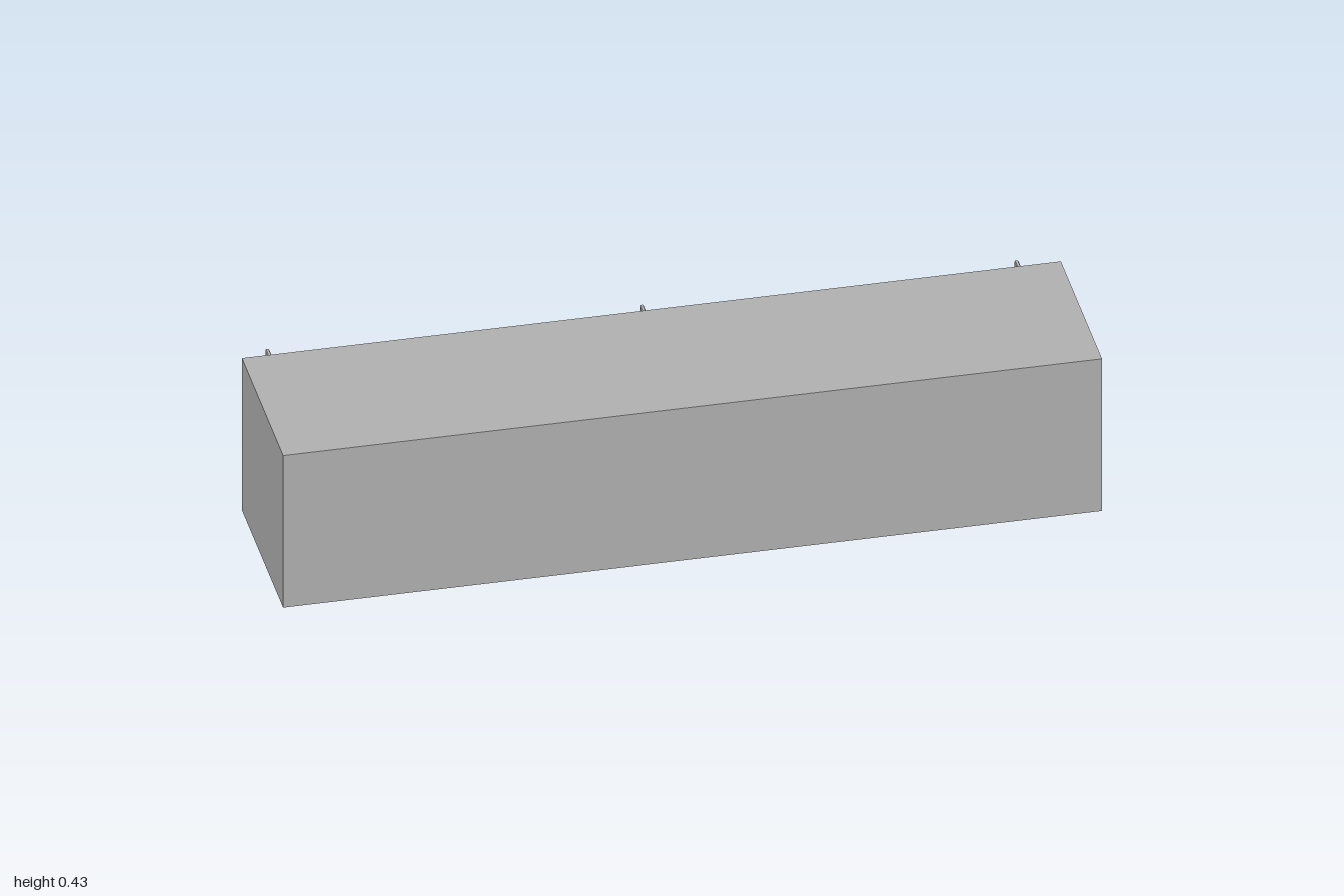
import * as THREE from 'three';

export function createModel() {
  const model = new THREE.Group();
  const grey = new THREE.MeshStandardMaterial({ color: 0xb2b2b2 });
  grey.name = 'plainGrey';

  const add = (name, geometry) => {
    const mesh = new THREE.Mesh(geometry, grey);
    mesh.name = name;
    model.add(mesh);
    return mesh;
  };
  // Box given by its minimum and maximum on each axis
  const slab = (name, x0, x1, y0, y1, z0, z1) =>
    add(name, new THREE.BoxGeometry(x1 - x0, y1 - y0, z1 - z0)
      .translate((x0 + x1) / 2, (y0 + y1) / 2, (z0 + z1) / 2));

  const H = 0.427, FRONT = 0.28, BACK = -0.17, IN_F = 0.248, IN_B = -0.137;
  const WALL = 0.022, BASE = 0.02, MID = 0.05;

  // Hollow shell, open underneath
  slab('frontPanel', -1, 1, 0, H, IN_F, FRONT);
  slab('backPanel', -1, 1, 0, H, BACK, IN_B);
  slab('topPanel', -1 + WALL, 1 - WALL, H - WALL, H, IN_B, IN_F);
  for (const s of [-1, 1]) {
    const a = s * (1 - WALL);
    slab('endPanel', Math.min(a, s), Math.max(a, s), 0, H, IN_B, IN_F);
  }

  // Cross ribs inside the shell
  for (const x of [-0.6, -0.217, 0.217, 0.6])
    slab('crossRib', x - 0.006, x + 0.006, BASE, H - WALL, IN_B, IN_F);

  // Lengthwise plate whose lower edge sweeps up in two quarter arcs
  const archedPlate = (name, half, z, thick) => {
    const r = 0.2, c = BASE + r, top = H - WALL;
    const s = new THREE.Shape();
    s.moveTo(-half, BASE);
    s.lineTo(-r, BASE);
    s.absarc(-r, c, r, -Math.PI / 2, 0, false);
    s.absarc(r, c, r, Math.PI, Math.PI * 1.5, false);
    s.lineTo(half, BASE);
    s.lineTo(half, top);
    s.lineTo(-half, top);
    s.closePath();
    const g = new THREE.ExtrudeGeometry(s, { depth: thick, bevelEnabled: false, curveSegments: 16 });
    add(name, g.translate(0, 0, z - thick / 2));
  };
  archedPlate('middleRib', 1 - WALL, MID, 0.012);
  archedPlate('frontArchPlate', 0.217, IN_F - 0.006, 0.012);

  // Rectangular loop brackets on the back, drawn in z and y, extruded along x
  const outline = [
    [-0.174, 0.036], [-0.174, 0.095], [-0.17, 0.095], [-0.17, 0.317], [-0.174, 0.317],
    [-0.174, 0.377], [-0.275, 0.377], [-0.275, 0.317], [-0.279, 0.317], [-0.279, 0.285],
    [-0.275, 0.285], [-0.275, 0.127], [-0.279, 0.127], [-0.279, 0.095], [-0.275, 0.095],
    [-0.275, 0.036],
  ];
  const opening = [[-0.187, 0.049], [-0.262, 0.049], [-0.262, 0.363], [-0.187, 0.363]];
  const points = list => list.map(([z, y]) => new THREE.Vector2(z, y));
  const loop = new THREE.Shape(points(outline));
  loop.holes.push(new THREE.Path(points(opening)));
  const bracket = new THREE.ExtrudeGeometry(loop, {
    depth: 0.006, bevelEnabled: true, bevelThickness: 0.002,
    bevelSize: 0.002, bevelOffset: -0.002, bevelSegments: 1,
  });
  bracket.translate(0, 0, -0.003).rotateY(-Math.PI / 2);
  for (const x of [-0.915, 0, 0.915]) add('backBracket', bracket).position.x = x;

  return model;
}
